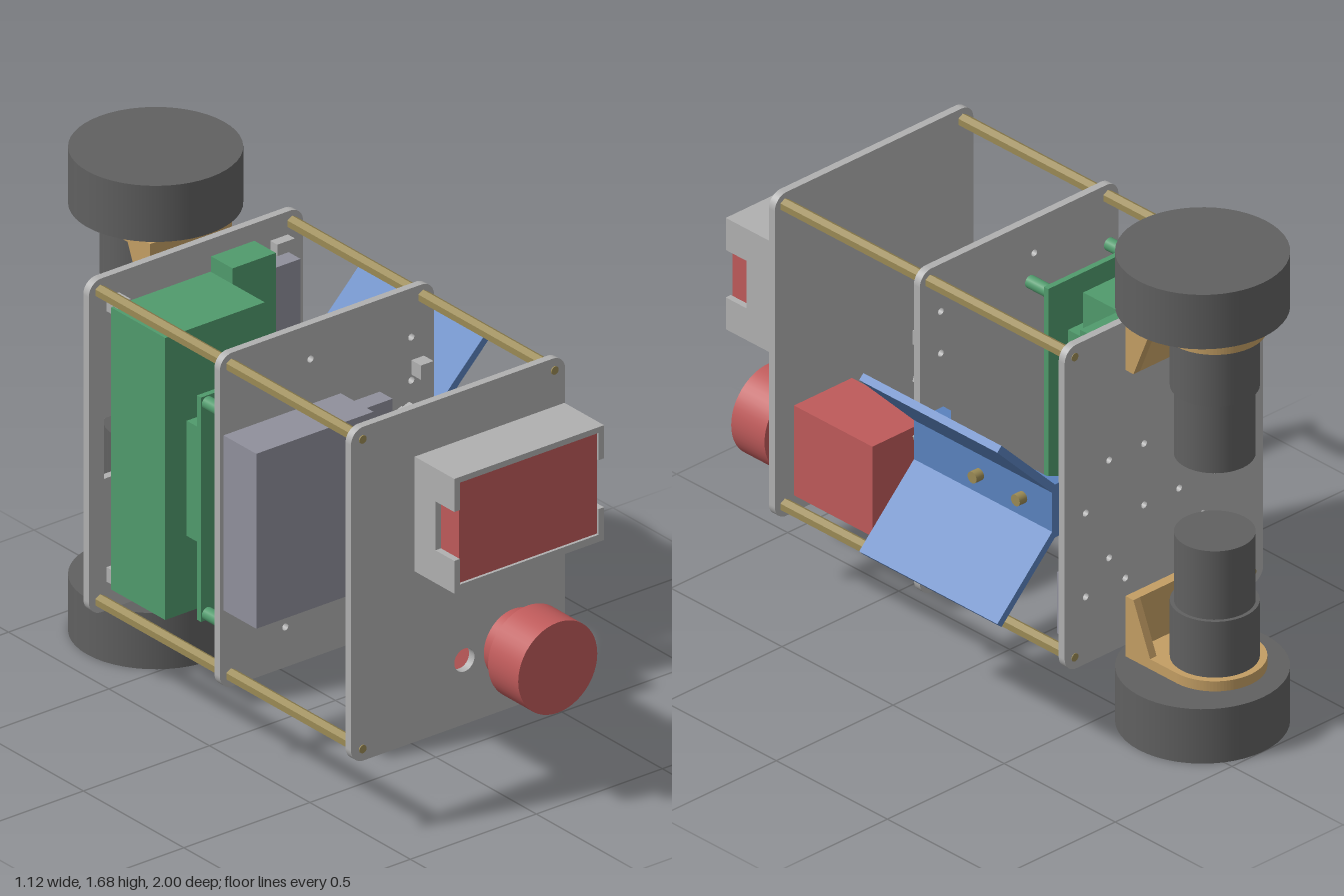
import * as THREE from 'three';

export function createModel() {
  const model = new THREE.Group();
  const mat = (name, color) => {
    const m = new THREE.MeshStandardMaterial({ color });
    m.name = name;
    return m;
  };
  const grey = mat('plate grey', 0xb0b0b0);
  const dark = mat('rubber grey', 0x606060);
  const red = mat('red', 0xbe5a5a);
  const blue = mat('blue', 0x5a82be);
  const green = mat('circuit green', 0x509a6c);
  const slate = mat('slate', 0x90909c);
  const tan = mat('tan', 0xc39e64);
  const brass = mat('brass', 0x9a8a55);

  const add = (name, geo, m, parent = model) => {
    const mesh = new THREE.Mesh(geo, m);
    mesh.name = name;
    parent.add(mesh);
    return mesh;
  };
  // Box given by its extents
  const box = (name, m, x0, x1, y0, y1, z0, z1, parent) => {
    const g = new THREE.BoxGeometry(x1 - x0, y1 - y0, z1 - z0);
    g.translate((x0 + x1) / 2, (y0 + y1) / 2, (z0 + z1) / 2);
    return add(name, g, m, parent);
  };
  // Cylinder running along z
  const rodZ = (name, m, x, y, z0, z1, r, sides = 32) => {
    let g = new THREE.CylinderGeometry(r, r, z1 - z0, sides);
    g.rotateX(Math.PI / 2);
    if (sides < 8) { g = g.toNonIndexed(); g.computeVertexNormals(); }
    g.translate(x, y, (z0 + z1) / 2);
    return add(name, g, m);
  };
  const polygon = (pts) => new THREE.Shape(pts.map((p) => new THREE.Vector2(...p)));
  const extrude = (shape, depth) =>
    new THREE.ExtrudeGeometry(shape, { depth, bevelEnabled: false, curveSegments: 24 });
  const rectHole = (x0, x1, y0, y1) =>
    new THREE.Path([[x0, y0], [x0, y1], [x1, y1], [x1, y0]].map((p) => new THREE.Vector2(...p)));
  const roundHole = (x, y, r) => new THREE.Path().absarc(x, y, r, 0, Math.PI * 2, true);

  // Three rounded deck plates
  const plate = (name, z, holes) => {
    const x0 = -0.56, x1 = 0.29, y0 = 0.26, y1 = 1.42, r = 0.05;
    const s = new THREE.Shape();
    s.absarc(x1 - r, y1 - r, r, 0, Math.PI / 2);
    s.absarc(x0 + r, y1 - r, r, Math.PI / 2, Math.PI);
    s.absarc(x0 + r, y0 + r, r, Math.PI, Math.PI * 1.5);
    s.absarc(x1 - r, y0 + r, r, Math.PI * 1.5, Math.PI * 2);
    s.holes.push(...holes);
    add(name, extrude(s, 0.027).translate(0, 0, z), grey);
  };
  const smallHoles = (list) => list.map(([x, y]) => roundHole(x, y, 0.012));
  plate('frontPlate', 0.753, [roundHole(-0.11, 0.483, 0.04)]);
  plate('middlePlate', 0.1, [rectHole(0.08, 0.13, 0.42, 0.66),
    ...smallHoles([[0.2, 1.25], [0.2, 1.1], [0.22, 0.75], [0.2, 0.45], [-0.3, 0.4], [-0.2, 1.3]])]);
  plate('backPlate', -0.552, [rectHole(-0.5, -0.35, 0.72, 0.93),
    ...smallHoles([[-0.2, 0.95], [-0.2, 0.73], [-0.05, 0.95], [-0.05, 0.73], [0.1, 0.6],
      [0.1, 0.95], [0.2, 0.8], [0.2, 0.5], [-0.3, 0.6], [-0.3, 1.1], [0.03, 0.5]])]);

  // Hexagonal corner spacers with their screw heads
  for (const x of [-0.515, 0.247]) for (const y of [0.302, 1.378]) {
    rodZ('spacer', brass, x, y, -0.525, 0.1, 0.022, 6);
    rodZ('spacer', brass, x, y, 0.127, 0.753, 0.022, 6);
    for (const z of [-0.54, 0.77]) rodZ('screw', brass, x, y, z - 0.014, z + 0.014, 0.014, 16);
  }

  // Wheel drives, the lower one turned upside down
  for (const turn of [0, Math.PI]) {
    const drive = new THREE.Group();
    drive.name = 'wheelDrive';
    drive.position.set(-0.133, 0.84, 0);
    drive.rotation.z = turn;
    model.add(drive);
    const rodY = (name, m, y0, y1, z, r) => add(name,
      new THREE.CylinderGeometry(r, r, y1 - y0, 48).translate(0, (y0 + y1) / 2, z), m, drive);
    rodY('wheel', dark, 0.645, 0.84, -0.728, 0.272);
    rodY('axle', dark, 0.58, 0.66, -0.728, 0.023);
    rodY('gearbox', dark, 0.385, 0.585, -0.783, 0.14);
    rodY('motor', dark, 0.14, 0.385, -0.783, 0.127);
    // Bracket: round-ended flange, foot and gussets
    const s = new THREE.Shape();
    s.moveTo(-0.163, 0.552);
    s.lineTo(0.163, 0.552);
    s.lineTo(0.163, 0.783);
    s.absarc(0, 0.783, 0.163, 0, Math.PI);
    add('bracketFlange', extrude(s, 0.036).rotateX(-Math.PI / 2).translate(0, 0.585, 0), tan, drive);
    box('bracketFoot', tan, -0.163, 0.163, 0.405, 0.6, -0.588, -0.552, drive);
    const gusset = polygon([[0.57, 0.405], [0.588, 0.405], [0.665, 0.59], [0.57, 0.59]]);
    for (const x of [-0.163, 0.135])
      add('bracketGusset', extrude(gusset, 0.028).rotateY(Math.PI / 2).translate(x, 0, 0), tan, drive);
  }

  // Framed display with a slot in each side
  box('frameTop', grey, -0.307, 0.287, 1.232, 1.252, 0.78, 0.977);
  box('frameBottom', grey, -0.307, 0.287, 0.853, 0.878, 0.78, 0.977);
  for (const x of [-0.307, 0.265]) {
    box('frameSide', grey, x, x + 0.022, 0.878, 1.232, 0.78, 0.883);
    box('frameSide', grey, x, x + 0.022, 0.878, 0.967, 0.883, 0.977);
    box('frameSide', grey, x, x + 0.022, 1.137, 1.232, 0.883, 0.977);
  }
  box('screen', red, -0.283, 0.264, 0.88, 1.23, 0.79, 0.97);

  // Push button and its switch block
  rodZ('buttonCap', red, 0.085, 0.482, 0.85, 1, 0.157, 48);
  rodZ('buttonNeck', red, 0.085, 0.482, 0.78, 0.85, 0.118, 48);
  box('switchBlock', red, -0.04, 0.208, 0.32, 0.642, 0.4, 0.753);

  // Side funnel: bent blue sheet, screws and corner tabs
  const sheet = polygon([[0.29, 0.745], [0.308, 0.745], [0.537, 0.515], [0.555, 0.533], [0.32, 0.77],
    [0.32, 0.91], [0.555, 1.147], [0.537, 1.165], [0.308, 0.935], [0.29, 0.935]]);
  add('sideScoop', extrude(sheet, 0.622).translate(0, 0, -0.527), blue);
  for (const z of [-0.2, -0.395]) {
    add('scoopScrew', new THREE.CylinderGeometry(0.02, 0.02, 0.04, 24)
      .rotateZ(Math.PI / 2).translate(0.332, 0.84, z), brass);
    add('scoopNut', new THREE.CylinderGeometry(0.035, 0.035, 0.03, 24)
      .rotateZ(Math.PI / 2).translate(0.278, 0.84, z), blue);
  }
  const tab = polygon([[0.29, 0.05], [0.29, -0.09], [0.19, -0.035], [0.19, 0]]);
  add('scoopTab', extrude(polygon([[0.19, 0], [0.29, 0], [0.29, 0.14], [0.19, 0.035]]), 0.13)
    .rotateX(-Math.PI / 2).translate(0, 0.775, 0.1), blue);
  add('scoopTab', extrude(polygon([[0.19, 0], [0.29, 0], [0.29, 0.12], [0.19, 0.035]]), 0.13)
    .rotateX(Math.PI / 2).translate(0, 0.905, -0.525), blue);

  // Parts between the back and middle plates
  box('powerBoard', green, -0.5, -0.105, 0.35, 1.33, -0.49, -0.22);
  box('driverBoard', green, -0.075, 0.097, 1, 1.36, -0.525, -0.418);
  box('rearModule', slate, 0.125, 0.23, 1.04, 1.28, -0.525, -0.462);
  box('rearModule', slate, 0.1, 0.23, 0.34, 0.56, -0.525, -0.455);
  add('rearCapacitor', new THREE.CylinderGeometry(0.055, 0.055, 0.2, 24).translate(0, 0.85, -0.47), slate);
  for (const y of [0.36, 1.3]) {
    box('boardMount', grey, -0.49, -0.44, y, y + 0.05, -0.525, -0.465);
    box('boardMount', grey, 0.16, 0.23, y, y + 0.04, -0.525, -0.49);
  }
  box('mainBoard', green, -0.545, -0.16, 0.45, 1.23, -0.005, 0.015);
  box('mainBoardChip', green, -0.457, -0.245, 0.65, 1.05, -0.167, -0.005);
  for (const x of [-0.52, -0.182]) for (const y of [0.472, 1.205])
    rodZ('mainBoardFoot', green, x, y, 0.01, 0.1, 0.022, 16);

  // Parts on the front of the middle plate
  box('batteryPack', slate, -0.545, -0.08, 0.535, 1.143, 0.127, 0.29);
  box('frontModule', slate, -0.055, 0.075, 0.95, 1.1, 0.127, 0.19);
  box('sensorBoard', green, -0.06, 0.07, 0.39, 0.765, 0.127, 0.16);
  box('smallConnector', grey, 0.2, 0.25, 1.12, 1.17, 0.127, 0.175);
  box('smallConnector', grey, 0.2, 0.25, 0.52, 0.57, 0.127, 0.175);

  // Pair of mirrored U-shaped sensor holders
  for (const side of [-1, 1]) {
    const holder = new THREE.Group();
    holder.name = 'sensorHolder';
    holder.position.set(0.12, 0.84 + side * 0.12, 0.127);
    holder.rotation.z = side * 0.35;
    model.add(holder);
    box('holderBase', grey, -0.09, 0.09, -0.04, 0.04, 0, 0.025, holder);
    box('holderArm', grey, -0.01, 0.06, -0.045, -0.025, 0, 0.11, holder);
    box('holderArm', grey, -0.01, 0.06, 0.025, 0.045, 0, 0.11, holder);
    box('holderBack', grey, -0.02, 0, -0.045, 0.045, 0, 0.11, holder);
    box('holderChip', green, -0.06, -0.02, -0.03, 0.03, 0.025, 0.05, holder);
  }
  return model;
}
